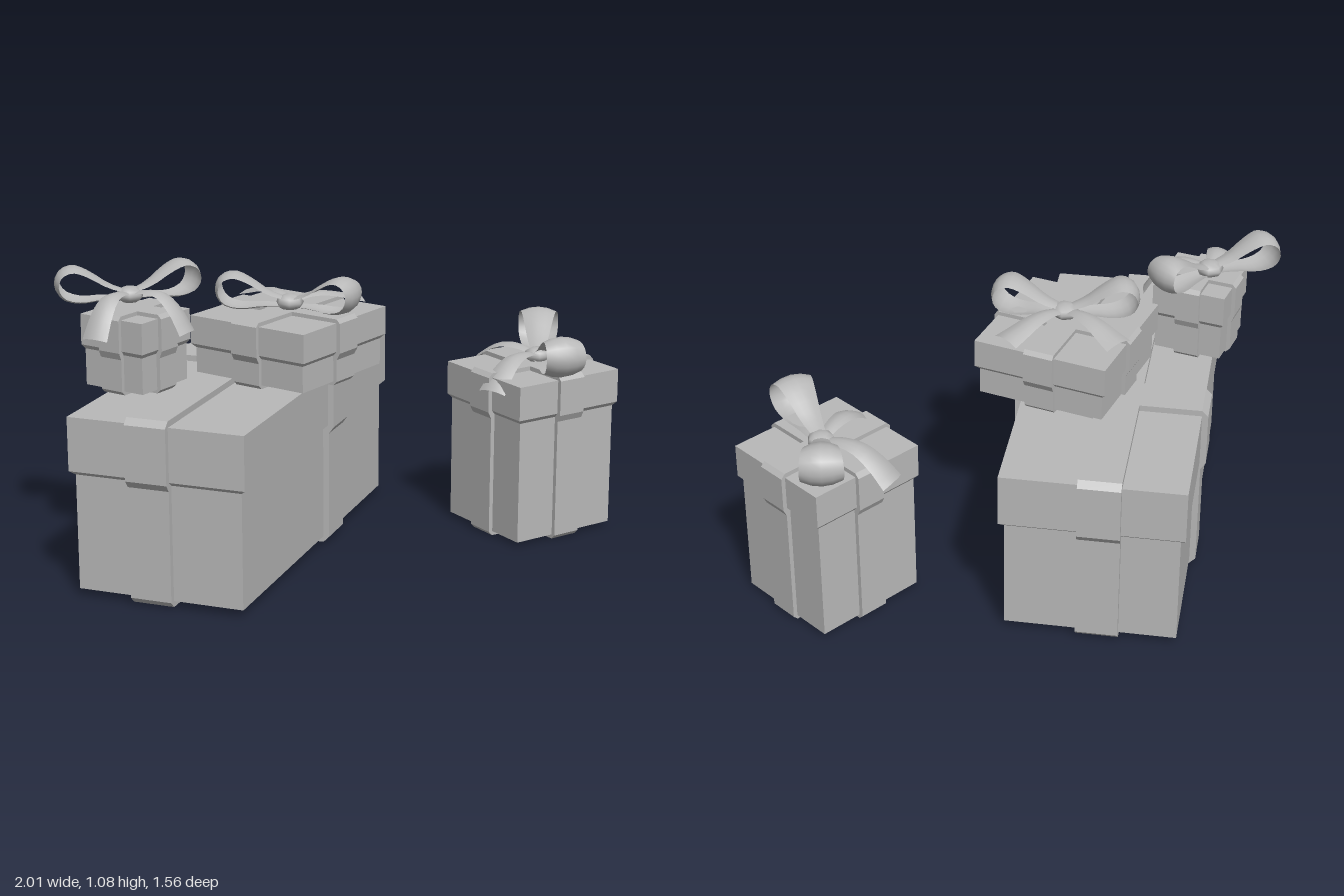
import * as THREE from 'three';

const grey = new THREE.MeshStandardMaterial({ color: 0xb8b8b8, side: THREE.DoubleSide });
grey.name = 'plain grey';

function part(name, geometry, parent) {
  const mesh = new THREE.Mesh(geometry, grey);
  mesh.name = name;
  parent.add(mesh);
  return mesh;
}

// Box between two heights, optionally narrowed at its bottom
function block(w, d, y0, y1, inset = 0) {
  const g = new THREE.BoxGeometry(w, y1 - y0, d).translate(0, (y0 + y1) / 2, 0);
  const p = g.attributes.position;
  const mid = (y0 + y1) / 2;
  for (let i = 0; i < p.count; i++) {
    if (p.getY(i) < mid) {
      p.setX(i, p.getX(i) - Math.sign(p.getX(i)) * inset);
      p.setZ(i, p.getZ(i) - Math.sign(p.getZ(i)) * inset);
    }
  }
  g.computeVertexNormals();
  return g;
}

// Band wrapped round the whole gift, following the overhang of the lid
function bandGeometry(lidHalf, o, width) {
  const a = lidHalf, b = lidHalf - o.inset, t = o.thick;
  const half = [
    [b, o.base - t], [b + t, o.base], [b + t, o.seam - 0.03],
    [a + t, o.seam - 0.005], [a + t, o.top], [a, o.top + t],
  ];
  const outline = [...half, ...half.slice().reverse().map(([x, y]) => [-x, y])];
  const shape = new THREE.Shape(outline.map(([x, y]) => new THREE.Vector2(x, y)));
  return new THREE.ExtrudeGeometry(shape, { depth: width, bevelEnabled: false })
    .translate(0, 0, -width / 2);
}

// Crowned strip running along +x; path holds [reach, height], width varies by rule
function stripGeometry(path, halfWidth, crown, segments) {
  const curve = new THREE.CatmullRomCurve3(path.map(([x, y]) => new THREE.Vector3(x, y, 0)));
  const across = 4, pos = [], index = [];
  for (let i = 0; i <= segments; i++) {
    const u = i / segments;
    const p = curve.getPoint(u), t = curve.getTangent(u);
    const w = halfWidth(p.x);
    for (let j = 0; j <= across; j++) {
      const s = (j / across) * 2 - 1;
      const c = crown * (1 - s * s) * w;
      pos.push(p.x - t.y * c, p.y + t.x * c, s * w);
      if (i < segments && j < across) {
        const k = i * (across + 1) + j, n = k + across + 1;
        index.push(k, k + 1, n, k + 1, n + 1, n);
      }
    }
  }
  const g = new THREE.BufferGeometry();
  g.setAttribute('position', new THREE.Float32BufferAttribute(pos, 3));
  g.setIndex(index);
  g.computeVertexNormals();
  return g;
}

// Bow: two loops swept slightly forward, two tails swept back, and a knot
function makeBow(loopReach, tailReach, tailDrop) {
  const bow = new THREE.Group();
  bow.name = 'bow';
  const loopPath = [[0, 0.03], [0.3, 0.13], [0.6, 0.31], [0.8, 0.38], [0.95, 0.32],
    [1, 0.17], [0.92, 0.02], [0.7, -0.05], [0.4, -0.03], [0, -0.04]]
    .map(([x, y]) => [x * loopReach, y * loopReach]);
  const tailPath = [[0, 0], [0.28, 0.06], [0.55, 0.04], [0.8, -0.35 * tailDrop], [1, -tailDrop]]
    .map(([x, y]) => [x * tailReach, y * tailReach]);
  const loop = stripGeometry(loopPath, (x) => 0.022 + 0.19 * Math.max(x, 0), 0.25, 22);
  const tail = stripGeometry(tailPath, (x) => 0.02 + 0.13 * Math.max(x, 0), 0.3, 10);

  const sweep = 0.19;
  part('bowLoopRight', loop, bow).rotation.y = -sweep;
  part('bowLoopLeft', loop, bow).rotation.y = Math.PI + sweep;
  part('bowTailRight', tail, bow).rotation.y = Math.PI / 4;
  part('bowTailLeft', tail, bow).rotation.y = Math.PI * 0.75;

  const knot = part('bowKnot', new THREE.SphereGeometry(0.05, 7, 6), bow);
  knot.scale.set(1, 0.6, 1);
  return bow;
}

function makeGift(o) {
  const gift = new THREE.Group();
  gift.name = o.name;
  const box = new THREE.Group();
  box.name = 'wrappedBox';
  box.rotation.y = o.turn;
  gift.add(box);

  const { w, d, inset } = o;
  part('boxBody', block(w - 2 * inset, d - 2 * inset, o.base, o.seam + 0.01), box);
  part('lid', block(w, d, o.seam, o.top), box);
  part('lidLip', block(w, d, o.seam - 0.015, o.seam, inset), box);

  const cross = part('crossRibbon', bandGeometry(w / 2, o, o.ribbon), box);
  cross.position.z = o.crossAt ?? 0;
  const long = part('longRibbon', bandGeometry(d / 2, o, o.ribbon), box);
  long.rotation.y = Math.PI / 2;
  long.position.x = o.longAt ?? 0;

  if (o.bow) {
    const bow = makeBow(o.bow.loop, o.bow.tail, o.bow.drop);
    bow.position.set(...o.bow.at);
    bow.rotation.y = o.bow.turn;
    gift.add(bow);
  }
  gift.position.set(o.x, 0, o.z);
  return gift;
}

export function createModel() {
  const model = new THREE.Group();
  model.name = 'giftPile';
  const gifts = [
    { name: 'largeGift', x: -0.398, z: -0.005, turn: -0.323, w: 0.643, d: 1.432,
      base: 0.028, seam: 0.455, top: 0.647, inset: 0.018, thick: 0.022, ribbon: 0.15,
      crossAt: -0.15, longAt: -0.025 },
    { name: 'flatGift', x: -0.209, z: 0.008, turn: -0.585, w: 0.494, d: 0.504,
      base: 0.665, seam: 0.775, top: 0.878, inset: 0.014, thick: 0.014, ribbon: 0.11,
      bow: { loop: 0.25, tail: 0.28, drop: 0.08, at: [0.006, 0.915, 0.022], turn: -0.23 } },
    { name: 'smallGift', x: -0.735, z: 0.195, turn: -0.56, w: 0.27, d: 0.27,
      base: 0.665, seam: 0.81, top: 0.92, inset: 0.01, thick: 0.014, ribbon: 0.09,
      bow: { loop: 0.245, tail: 0.23, drop: 0.5, at: [-0.022, 0.97, -0.04], turn: 3.48 } },
    { name: 'tallGift', x: 0.682, z: -0.245, turn: -0.96, w: 0.437, d: 0.457,
      base: 0.018, seam: 0.487, top: 0.612, inset: 0.013, thick: 0.016, ribbon: 0.11,
      bow: { loop: 0.285, tail: 0.285, drop: 0.3, at: [0.018, 0.648, -0.015], turn: 1.69 } },
  ];
  for (const g of gifts) model.add(makeGift(g));
  return model;
}
